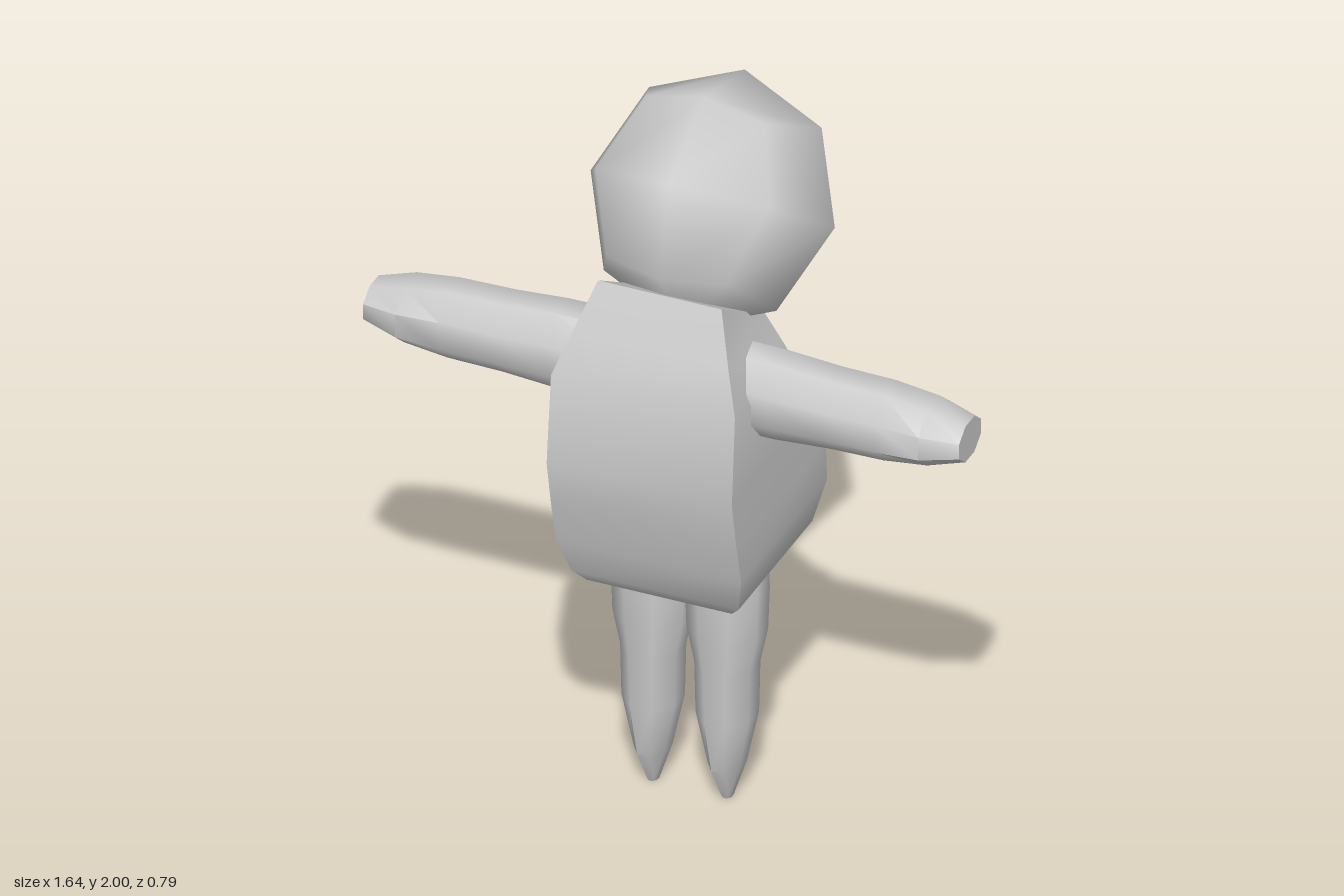
import * as THREE from 'three';
import { toCreasedNormals } from 'three/addons/utils/BufferGeometryUtils.js';

const CX = 0.007; // body midline

// Skins a stack of equal-sized rings (top to bottom) and caps both ends.
function loft(rings, crease) {
  const n = rings[0].length, last = (rings.length - 1) * n, index = [];
  for (let r = 0; r < last; r += n) {
    for (let k = 0; k < n; k++) {
      const a = r + k, b = r + (k + 1) % n;
      index.push(a, b, b + n, a, b + n, a + n);
    }
  }
  for (let k = 1; k < n - 1; k++) {
    index.push(0, k + 1, k, last, last + k, last + k + 1);
  }
  const geo = new THREE.BufferGeometry();
  geo.setAttribute('position', new THREE.Float32BufferAttribute(rings.flat(2), 3));
  geo.setIndex(index);
  return toCreasedNormals(geo, crease);
}

// Eight-sided limb pointing down; sections are [y, half width x, half depth z].
function limb(sections) {
  const c = Math.cos(Math.PI / 8);
  return loft(sections.map(([y, rx, rz]) => Array.from({ length: 8 }, (_, k) => {
    const a = (k + 0.5) * Math.PI / 4;
    return [rx / c * Math.cos(a), y, rz / c * Math.sin(a)];
  })), 0.85);
}

export function createModel() {
  const group = new THREE.Group();
  const material = new THREE.MeshStandardMaterial({ color: 0xcccccc });
  const add = (name, geometry, x, y, z) => {
    const mesh = new THREE.Mesh(geometry, material);
    mesh.name = name;
    mesh.position.set(x, y, z);
    group.add(mesh);
    return mesh;
  };

  // Torso: front z, front y, back z, back y, half width
  const stations = [
    [0.27, 1.572, 0.0, 1.405, 0.17],
    [0.33, 1.44, 0.0, 1.34, 0.215],
    [0.375, 1.33, -0.03, 1.24, 0.253],
    [0.398, 1.08, -0.14, 1.08, 0.255],
    [0.372, 0.95, -0.187, 0.95, 0.255],
    [0.34, 0.82, -0.195, 0.82, 0.255],
    [0.30, 0.71, -0.16, 0.71, 0.23],
    [0.273, 0.675, -0.115, 0.672, 0.2],
    [0.20, 0.635, 0.0, 0.645, 0.14],
  ];
  add('torso', loft(stations.map(([zf, yf, zb, yb, w]) =>
    [[w, yf, zf], [-w, yf, zf], [-w, yb, zb], [w, yb, zb]]), 0.8), CX, 0, 0);

  // Head: rounded cube shape, its axis across the body
  const R = 0.336;
  const head = new THREE.SphereGeometry(R, 8, 4);
  const p = head.attributes.position;
  for (let ring = 1; ring <= 3; ring += 2) {
    for (let k = 0; k <= 8; k++) {
      const [h, r] = k % 2 ? [0.707, 0.707] : [0.49, 0.872];
      const a = k * Math.PI / 4;
      p.setXYZ(ring * 9 + k, -R * r * Math.cos(a), R * h * (2 - ring), R * r * Math.sin(a));
    }
  }
  for (let i = 0; i < p.count; i++) {
    const v = new THREE.Vector3().fromBufferAttribute(p, i).normalize();
    head.attributes.normal.setXYZ(i, v.x, v.y, v.z);
  }
  head.rotateZ(Math.PI / 2);
  head.rotateX(0.15);
  add('head', head, CX, 1.667, -0.06);

  const arm = limb([
    [-0.12, 0.112, 0.098], [-0.3, 0.11, 0.098], [-0.45, 0.099, 0.098],
    [-0.6, 0.096, 0.098], [-0.72, 0.081, 0.097], [-0.82, 0.053, 0.068],
  ]);
  const leg = limb([
    [0.72, 0.098, 0.093], [0.62, 0.1, 0.093], [0.5, 0.096, 0.09], [0.4, 0.076, 0.083],
    [0.25, 0.073, 0.079], [0.1, 0.043, 0.06], [0, 0.014, 0.017],
  ]);
  for (const [side, s] of [['left', 1], ['right', -1]]) {
    add(side + 'Arm', arm, 0, 1.297, 0.178).rotation.z = s * Math.PI / 2;
    add(side + 'Leg', leg, CX + s * 0.102, 0, 0.08);
  }
  return group;
}
